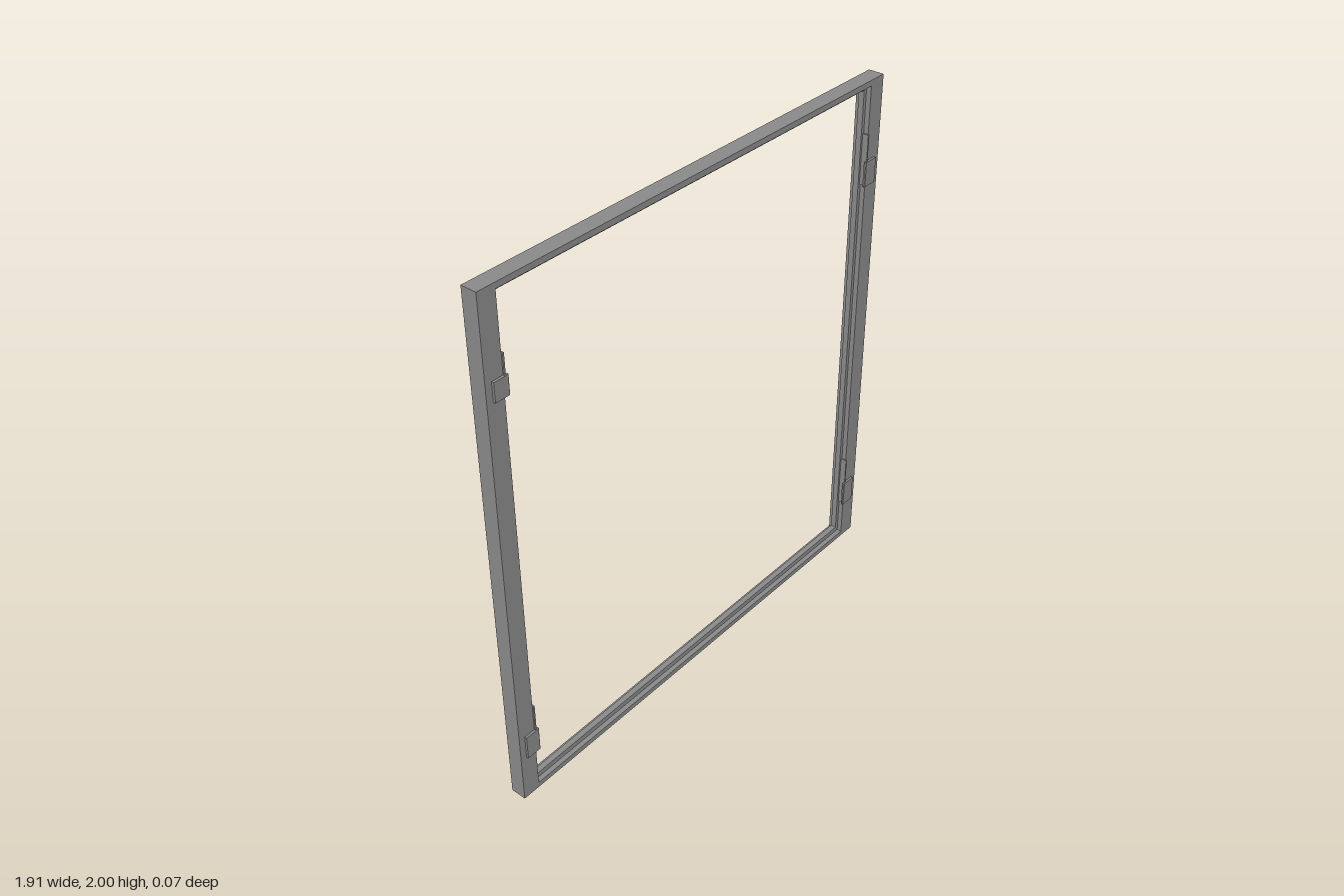
import * as THREE from 'three';

const material = new THREE.MeshStandardMaterial({ color: 0x888888, flatShading: true });

// Rectangular ring from outer bounds and opening, spanning z0..z1
function ring(name, outer, inner, z0, z1) {
  const path = (P, [x, y0, y1]) => {
    const p = new P();
    p.moveTo(-x, y0); p.lineTo(x, y0); p.lineTo(x, y1); p.lineTo(-x, y1); p.closePath();
    return p;
  };
  const shape = path(THREE.Shape, outer);
  shape.holes.push(path(THREE.Path, inner));
  const geometry = new THREE.ExtrudeGeometry(shape, { depth: z1 - z0, bevelEnabled: false });
  geometry.translate(0, 0, z0);
  const mesh = new THREE.Mesh(geometry, material);
  mesh.name = name;
  return mesh;
}

// Hinge: a pad on the jamb face, chamfered towards the opening, plus a thin leaf inside it
function hinge(name, side, bottom, top, leafTop) {
  const group = new THREE.Group();
  group.name = name;
  const profile = [[0.87, 0.025], [0.93, 0.025], [0.93, 0.034], [0.873, 0.034], [0.87, 0.031]];
  const shape = new THREE.Shape(profile.map(([x, z]) => new THREE.Vector2(side * x, -z)));
  const padGeometry = new THREE.ExtrudeGeometry(shape, { depth: top - bottom, bevelEnabled: false });
  padGeometry.rotateX(-Math.PI / 2);
  padGeometry.translate(0, bottom, 0);
  const pad = new THREE.Mesh(padGeometry, material);
  pad.name = 'hingePad';

  const leaf = new THREE.Mesh(new THREE.BoxGeometry(0.006, leafTop - bottom, 0.024), material);
  leaf.name = 'hingeLeaf';
  leaf.position.set(side * 0.882, (bottom + leafTop) / 2, 0.018);
  group.add(pad, leaf);
  return group;
}

export function createModel() {
  const model = new THREE.Group();
  model.name = 'doorFrame';

  // Outer casing and the narrower stop running round its middle
  model.add(ring('casing', [0.955, 0, 2], [0.885, 0.021, 1.979], -0.035, 0.025));
  model.add(ring('stop', [0.885, 0.021, 1.979], [0.871, 0.041, 1.963], -0.016, 0.006));

  // Hinges on both jambs
  model.add(
    hinge('upperRightHinge', -1, 1.63, 1.7, 1.775),
    hinge('lowerRightHinge', -1, 0.185, 0.28, 0.39),
    hinge('upperLeftHinge', 1, 1.605, 1.7, 1.8),
    hinge('lowerLeftHinge', 1, 0.175, 0.28, 0.39),
  );
  return model;
}
